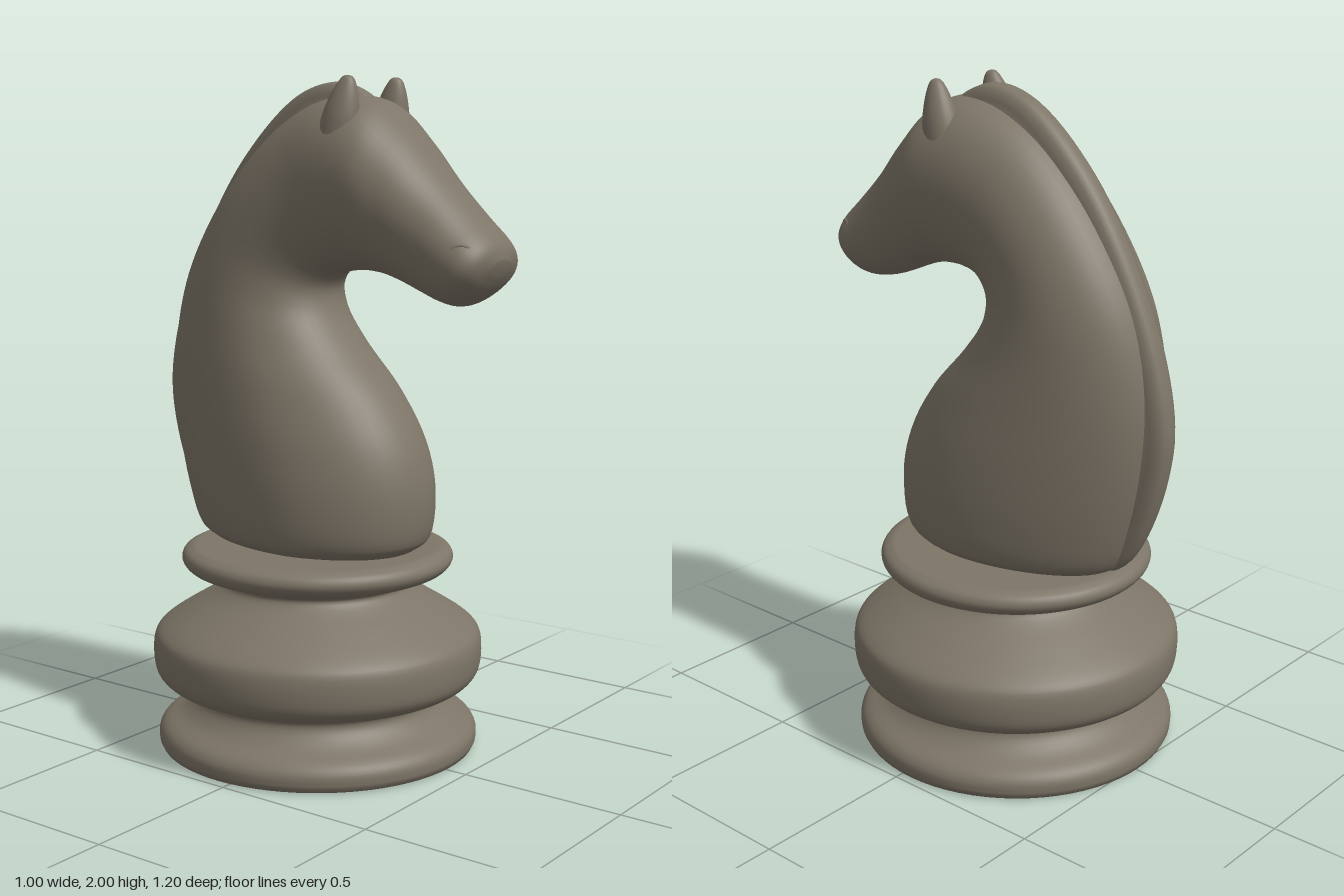
import * as THREE from 'three';

const stone = new THREE.MeshStandardMaterial({ color: 0x7d7567 });
stone.name = 'warm grey stone';

// Skins closed rings of points, caps both ends and turns the faces outwards.
function loft(rings) {
  const n = rings[0].length, pos = [], idx = [];
  rings.forEach(r => r.forEach(p => pos.push(p.x, p.y, p.z)));
  for (let i = 0; i < rings.length - 1; i++) {
    for (let j = 0; j < n; j++) {
      const a = i * n + j, b = i * n + (j + 1) % n;
      idx.push(a, b, a + n, b, b + n, a + n);
    }
  }
  [0, rings.length - 1].forEach((k, e) => {
    const c = new THREE.Vector3();
    rings[k].forEach(p => c.addScaledVector(p, 1 / n));
    const ci = pos.push(c.x, c.y, c.z) / 3 - 1;
    for (let j = 0; j < n; j++) {
      const a = k * n + j, b = k * n + (j + 1) % n;
      idx.push(ci, e ? a : b, e ? b : a);
    }
  });
  const v = i => new THREE.Vector3().fromArray(pos, i * 3);
  let volume = 0;
  for (let i = 0; i < idx.length; i += 3) volume += v(idx[i]).dot(v(idx[i + 1]).cross(v(idx[i + 2])));
  if (volume < 0) idx.reverse();
  const g = new THREE.BufferGeometry();
  g.setAttribute('position', new THREE.Float32BufferAttribute(pos, 3));
  g.setIndex(idx);
  g.computeVertexNormals();
  return g;
}

// Neck and head: chest/throat z, y; back/forehead z, y; half width; narrowing to the back
function bodyGeometry() {
  const sections = [
    [0.28, 0.625, -0.41, 0.625, 0.225, 0.15],
    [0.322, 0.66, -0.45, 0.655, 0.26, 0.15],
    [0.34, 0.80, -0.50, 0.78, 0.275, 0.15],
    [0.31, 0.94, -0.54, 0.95, 0.268, 0.15],
    [0.22, 1.09, -0.553, 1.12, 0.247, 0.12],
    [0.10, 1.22, -0.533, 1.28, 0.225, 0.08],
    [0.025, 1.32, -0.485, 1.43, 0.21, 0.04],
    [0.01, 1.385, -0.395, 1.59, 0.20, 0],
    [0.04, 1.43, -0.275, 1.745, 0.195, 0],
    [0.10, 1.447, -0.12, 1.88, 0.193, 0],
    [0.17, 1.45, 0.04, 1.945, 0.20, -0.05],
    [0.24, 1.44, 0.19, 1.935, 0.20, -0.08],
    [0.30, 1.42, 0.30, 1.845, 0.178, -0.08],
    [0.36, 1.395, 0.42, 1.715, 0.156, -0.05],
    [0.43, 1.37, 0.52, 1.615, 0.15, -0.05],
    [0.485, 1.365, 0.572, 1.565, 0.145, -0.05],
    [0.55, 1.405, 0.595, 1.53, 0.115, 0],
    [0.585, 1.45, 0.602, 1.495, 0.045, 0],
  ];
  const front = new THREE.CatmullRomCurve3(sections.map(s => new THREE.Vector3(s[4], s[1], s[0])));
  const back = new THREE.CatmullRomCurve3(sections.map(s => new THREE.Vector3(s[5], s[3], s[2])));
  const rings = [], steps = (sections.length - 1) * 5, n = 48;
  for (let i = 0; i <= steps; i++) {
    const f = front.getPoint(i / steps), b = back.getPoint(i / steps), ring = [];
    for (let j = 0; j < n; j++) {
      const a = j / n * Math.PI * 2, u = Math.cos(a), s = Math.sin(a);
      const w = f.x * Math.sign(s) * Math.pow(Math.abs(s), 0.92) * (1 + b.x * Math.min(u, 0.3));
      const m = (1 - u) / 2;
      ring.push(new THREE.Vector3(w, f.y + (b.y - f.y) * m, f.z + (b.z - f.z) * m));
    }
    rings.push(ring);
  }
  return loft(rings);
}

// Mane: a rounded crest that follows the outline from the foot of the neck to the forehead
function maneGeometry() {
  const path = new THREE.CatmullRomCurve3([
    [-0.43, 0.63], [-0.465, 0.66], [-0.52, 0.75], [-0.58, 0.92], [-0.60, 1.08], [-0.56, 1.29],
    [-0.44, 1.565], [-0.285, 1.79], [-0.1, 1.95], [0.035, 1.988], [0.13, 1.96], [0.21, 1.895],
  ].map(([z, y]) => new THREE.Vector3(0, y, z)));
  const half = [[0.003, 0.022], [0.014, 0.04], [0.04, 0.046], [0.065, 0.052], [0.09, 0.066], [0.13, 0.085]];
  const profile = [[0, 0], ...half, ...half.slice().reverse().map(([d, w]) => [d, -w])];
  const rings = [];
  for (let i = 0; i <= 70; i++) {
    const p = path.getPoint(i / 70), t = path.getTangent(i / 70);
    rings.push(profile.map(([d, w]) => new THREE.Vector3(
      w, Math.max(0.626, p.y - t.z * d), p.z + t.y * d)));
  }
  return loft(rings);
}

// Turned base
function baseGeometry() {
  const curve = new THREE.SplineCurve([
    [0.485, 0.018], [0.485, 0.05], [0.465, 0.078], [0.415, 0.105], [0.383, 0.135], [0.373, 0.163],
    [0.39, 0.182], [0.44, 0.195], [0.48, 0.222], [0.497, 0.262], [0.497, 0.335], [0.47, 0.375],
    [0.385, 0.43], [0.32, 0.468], [0.287, 0.495], [0.29, 0.515], [0.34, 0.53], [0.39, 0.55],
    [0.41, 0.577], [0.402, 0.603], [0.375, 0.617],
  ].map(p => new THREE.Vector2(...p)));
  const v = (x, y) => new THREE.Vector2(x, y);
  return new THREE.LatheGeometry(
    [v(0, 0), v(0.465, 0), v(0.478, 0.004), ...curve.getPoints(80), v(0.36, 0.618), v(0, 0.618)], 72);
}

export function createModel() {
  const model = new THREE.Group();
  const add = (name, geometry, x = 0, y = 0, z = 0) => {
    const mesh = new THREE.Mesh(geometry, stone);
    mesh.name = name;
    mesh.position.set(x, y, z);
    model.add(mesh);
    return mesh;
  };

  add('base', baseGeometry(), 0, 0, -0.04);
  add('footPlug', new THREE.CylinderGeometry(0.18, 0.18, 0.04, 40), 0, 0.625, -0.05);
  add('neckAndHead', bodyGeometry());
  add('mane', maneGeometry());

  // Ears: rounded points, leaning forwards
  const earProfile = new THREE.SplineCurve([
    [0.058, -0.11], [0.056, -0.04], [0.042, 0.02], [0.026, 0.06], [0.014, 0.076], [0, 0.08],
  ].map(p => new THREE.Vector2(...p))).getPoints(20);
  for (const side of [1, -1]) {
    const ear = add(side > 0 ? 'leftEar' : 'rightEar',
      new THREE.LatheGeometry(earProfile, 24), side * 0.122, 1.922, 0.145);
    ear.rotation.set(0.2, 0, side * 0.06);
    ear.scale.set(0.85, 1, 1);

    // Nostrils: small raised rims on the sides of the muzzle
    const nostril = add(side > 0 ? 'leftNostril' : 'rightNostril',
      new THREE.TorusGeometry(0.02, 0.009, 10, 20), side * 0.117, 1.525, 0.535);
    nostril.rotation.set(0, side * 1.0, 0);
    nostril.scale.set(1.2, 0.75, 1);
  }
  return model;
}
